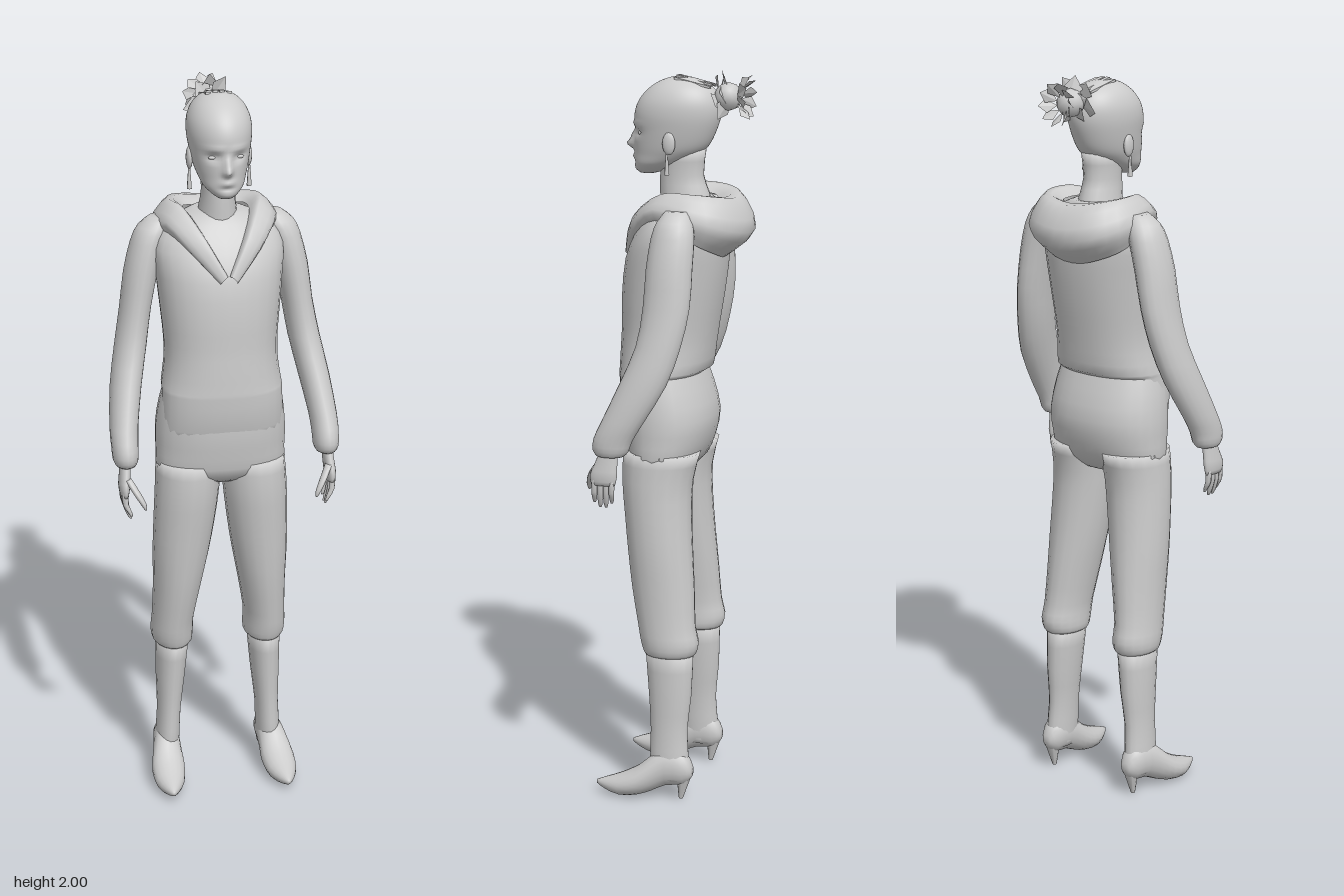
import * as THREE from 'three';

const grey = new THREE.MeshStandardMaterial({ color: 0xcccccc, side: THREE.DoubleSide });
grey.name = 'plain grey';

function add(parent, name, geometry) {
  const mesh = new THREE.Mesh(geometry, grey);
  mesh.name = name;
  parent.add(mesh);
  return mesh;
}

// Catmull-Rom blend between b and c
const blend = (a, b, c, d, t) =>
  b + 0.5 * t * (c - a + t * (2 * a - 5 * b + 4 * c - d + t * (3 * (b - c) + d - a)));

// Refines rows of numbers along a smooth curve
function refine(rows, sub) {
  const out = [];
  const at = i => rows[Math.min(Math.max(i, 0), rows.length - 1)];
  for (let i = 0; i < rows.length - 1; i++)
    for (let k = 0; k < sub; k++)
      out.push(rows[i].map((v, n) => blend(at(i - 1)[n], v, at(i + 1)[n], at(i + 2)[n], k / sub)));
  out.push(rows[rows.length - 1]);
  return out;
}

// Closed body from level rings, lowest first: [y, centre x, half width, front z, back z]
function loft(rows, { seg = 18, sub = 2, power = 2, rule } = {}) {
  const rings = refine(rows, sub), pos = [], idx = [];
  const round = v => Math.sign(v) * Math.abs(v) ** (2 / power);
  for (const [y, cx, hw, zf, zb] of rings)
    for (let j = 0; j < seg; j++) {
      const a = j / seg * Math.PI * 2;
      const p = new THREE.Vector3(cx + hw * round(Math.sin(a)), y, (zf + zb) / 2 + (zf - zb) / 2 * round(Math.cos(a)));
      if (rule) rule(p);
      pos.push(p.x, p.y, p.z);
    }
  const last = rings.length - 1, low = pos.length / 3, high = low + 1;
  for (const r of [rings[0], rings[last]]) pos.push(r[1], r[0], (r[3] + r[4]) / 2);
  for (let j = 0; j < seg; j++) {
    const n = (j + 1) % seg;
    idx.push(low, n, j, high, last * seg + j, last * seg + n);
    for (let i = 0; i < last; i++) {
      const a = i * seg + j, b = i * seg + n;
      idx.push(a, b, b + seg, a, b + seg, a + seg);
    }
  }
  const g = new THREE.BufferGeometry();
  g.setAttribute('position', new THREE.Float32BufferAttribute(pos, 3));
  g.setIndex(idx);
  g.computeVertexNormals();
  return g;
}

// Hood and lapels: columns of inner, ridge, outer and under points, from V tip to nape
function hoodGeometry() {
  const half = [
    [0.002, 1.52, 0.147, 0.008, 1.52, 0.156, 0.022, 1.505, 0.154, 0.022, 1.50, 0.14],
    [0.045, 1.60, 0.10, 0.06, 1.615, 0.118, 0.09, 1.585, 0.118, 0.09, 1.57, 0.09],
    [0.078, 1.655, 0.03, 0.105, 1.68, 0.03, 0.145, 1.645, 0.04, 0.14, 1.61, 0.03],
    [0.085, 1.66, -0.05, 0.125, 1.685, -0.06, 0.168, 1.62, -0.08, 0.15, 1.56, -0.07],
    [0.06, 1.655, -0.08, 0.085, 1.675, -0.13, 0.11, 1.59, -0.165, 0.09, 1.525, -0.115],
    [0, 1.65, -0.085, 0, 1.665, -0.15, 0, 1.575, -0.195, 0, 1.505, -0.12]];
  const flip = half.slice(0, -1).reverse().map(r => r.map((v, i) => i % 3 ? v : -v));
  const pos = [], idx = [], cols = refine([...half, ...flip], 3);
  let w = 0;
  for (const c of cols) {
    const line = refine([0, 3, 6, 9].map(i => c.slice(i, i + 3)), 3);
    w = line.length;
    pos.push(...line.flat());
  }
  for (let i = 0; i < cols.length - 1; i++)
    for (let j = 0; j < w - 1; j++) {
      const a = i * w + j, b = a + w;
      idx.push(a, a + 1, b, a + 1, b + 1, b);
    }
  const g = new THREE.BufferGeometry();
  g.setAttribute('position', new THREE.Float32BufferAttribute(pos, 3));
  g.setIndex(idx);
  g.computeVertexNormals();
  return g;
}

// Pointed hair shard: a folded kite with its root at the origin, pointing up y
function shardGeometry(length, width) {
  const g = new THREE.BufferGeometry();
  const m = length * 0.55, w = width / 2;
  g.setAttribute('position', new THREE.Float32BufferAttribute(
    [0, 0, 0, w, m, 0, 0, length, 0.01, 0, 0, 0, 0, length, 0.01, -w, m, 0.02], 3));
  g.computeVertexNormals();
  return g;
}

// Raises the face: nose, sockets, brow, lips and chin
function faceRule(p) {
  if (p.z < 0.04) return;
  const bump = (x, y, sx, sy) => Math.exp(-(((Math.abs(p.x) - x) / sx) ** 2) - ((p.y - y) / sy) ** 2);
  p.z += 0.024 * bump(0, 1.797, 0.011, 0.013) + 0.012 * bump(0, 1.82, 0.01, 0.016)
    - 0.012 * bump(0.034, 1.832, 0.018, 0.01) + 0.005 * bump(0.03, 1.855, 0.03, 0.008)
    + 0.007 * bump(0, 1.766, 0.018, 0.008) - 0.004 * bump(0, 1.751, 0.02, 0.005);
}

export function createModel() {
  const model = new THREE.Group();
  model.name = 'standing figure';

  // Torso
  add(model, 'trouserSeat', loft([
    [0.92, 0, 0.10, 0.09, -0.03], [0.95, 0, 0.172, 0.13, -0.06], [1.0, 0, 0.177, 0.142, -0.082],
    [1.07, 0, 0.178, 0.152, -0.095], [1.15, 0, 0.168, 0.152, -0.076], [1.22, 0, 0.15, 0.14, -0.05]],
    { seg: 28, power: 2.2 }));
  add(model, 'hoodedTop', loft([
    [1.06, 0, 0.165, 0.145, -0.04], [1.12, 0, 0.165, 0.16, -0.045], [1.185, 0, 0.163, 0.166, -0.055],
    [1.2, 0, 0.163, 0.166, -0.078], [1.26, 0, 0.154, 0.164, -0.088], [1.32, 0, 0.153, 0.161, -0.097],
    [1.4, 0, 0.16, 0.16, -0.11], [1.5, 0, 0.17, 0.148, -0.122], [1.57, 0, 0.175, 0.118, -0.122],
    [1.62, 0, 0.15, 0.085, -0.108], [1.65, 0, 0.10, 0.06, -0.09], [1.665, 0, 0.06, 0.04, -0.08]],
    { seg: 28, power: 2.2 }));
  add(model, 'hood', hoodGeometry());

  // Neck and head
  add(model, 'neck', loft([[1.6, 0, 0.06, 0.06, -0.09], [1.67, 0, 0.05, 0.062, -0.075],
    [1.72, 0, 0.044, 0.062, -0.058], [1.79, 0, 0.048, 0.06, -0.065]]));
  add(model, 'head', loft([
    [1.722, 0, 0.02, 0.118, 0.075], [1.732, 0, 0.035, 0.13, 0.04], [1.75, 0, 0.053, 0.132, 0],
    [1.775, 0, 0.064, 0.131, -0.045], [1.80, 0, 0.072, 0.131, -0.072], [1.84, 0, 0.08, 0.13, -0.092],
    [1.88, 0, 0.085, 0.131, -0.104], [1.915, 0, 0.082, 0.119, -0.103], [1.945, 0, 0.069, 0.094, -0.088],
    [1.966, 0, 0.048, 0.063, -0.062], [1.978, 0, 0.02, 0.03, -0.025]],
    { seg: 64, sub: 5, rule: faceRule }));

  // Bun with loose shards, and strands combed back over the crown
  const bun = new THREE.Group();
  bun.name = 'hairBun';
  bun.position.set(0, 1.93, -0.125);
  model.add(bun);
  add(bun, 'bunCore', new THREE.IcosahedronGeometry(0.038, 1));
  for (let i = 0; i < 10; i++) {
    const a = i / 10 * Math.PI * 2;
    const ring = add(bun, 'outerShard', shardGeometry(0.075 - 0.012 * (i % 3), 0.05));
    ring.rotation.set(0.25 - 0.5 * (i % 2), 0, a, 'ZXY');
    ring.position.z = i % 2 ? 0.025 : -0.01;
    const back = add(bun, 'backShard', shardGeometry(0.05, 0.035));
    back.rotation.set(-0.9, 0, a + 0.3, 'ZXY');
    back.position.set(-Math.sin(a) * 0.02, Math.cos(a) * 0.02, -0.03);
  }
  for (const x of [-0.028, -0.009, 0.009, 0.028]) {
    const strand = add(model, 'hairStrand', new THREE.BoxGeometry(0.013, 0.006, 0.1));
    strand.position.set(x, 1.972 - Math.abs(x) * 0.2, -0.035);
    strand.rotation.x = -0.22;
  }

  for (const s of [1, -1]) {
    const side = new THREE.Group();
    side.name = s > 0 ? 'leftSide' : 'rightSide';
    model.add(side);
    const limb = (name, rows, options) =>
      add(side, name, loft(rows.map(([y, x, ...rest]) => [y, x * s, ...rest]), options));

    // Eye, ear and earring
    const eye = add(side, 'eye', new THREE.SphereGeometry(0.011, 12, 8));
    eye.scale.set(1.2, 0.5, 0.5);
    eye.position.set(0.034 * s, 1.831, 0.107);
    const ear = add(side, 'ear', new THREE.SphereGeometry(0.03, 12, 8));
    ear.scale.set(0.3, 1, 0.6);
    ear.position.set(0.079 * s, 1.81, 0.015);
    const earring = add(side, 'earring', new THREE.CylinderGeometry(0.003, 0.007, 0.055, 6));
    earring.position.set(0.08 * s, 1.755, 0.02);

    // Sleeve and hand
    limb('sleeve', [
      [1.005, 0.275, 0.027, 0.155, 0.08], [1.02, 0.275, 0.034, 0.165, 0.066], [1.05, 0.275, 0.036, 0.163, 0.055],
      [1.1, 0.273, 0.038, 0.14, 0.025], [1.2, 0.258, 0.042, 0.095, -0.033], [1.3, 0.238, 0.043, 0.056, -0.066],
      [1.4, 0.221, 0.042, 0.042, -0.085], [1.5, 0.204, 0.046, 0.038, -0.087], [1.58, 0.184, 0.046, 0.03, -0.086],
      [1.62, 0.166, 0.045, 0.018, -0.075], [1.645, 0.15, 0.03, 0, -0.06]]);
    limb('palm', [[0.925, 0.283, 0.011, 0.168, 0.102], [0.95, 0.283, 0.015, 0.172, 0.096],
      [0.98, 0.28, 0.015, 0.16, 0.096], [1.03, 0.275, 0.015, 0.14, 0.095]]);
    for (let f = 0; f < 4; f++) {
      const z = 0.111 + f * 0.016, tip = 0.872 - 0.014 * Math.sin(f / 3 * Math.PI);
      limb('finger', [[tip, 0.268, 0.003, z + 0.008, z + 0.002], [tip + 0.012, 0.273, 0.006, z + 0.01, z - 0.003],
        [0.905, 0.283, 0.008, z + 0.009, z - 0.007], [0.94, 0.284, 0.009, z + 0.008, z - 0.008]], { seg: 8 });
    }
    limb('thumb', [[0.898, 0.234, 0.003, 0.193, 0.187], [0.915, 0.24, 0.008, 0.196, 0.178],
      [0.945, 0.257, 0.01, 0.186, 0.162], [0.975, 0.275, 0.01, 0.165, 0.14]], { seg: 8 });

    // Trouser leg, shin, shoe
    limb('trouserLeg', [
      [0.415, 0.131, 0.047, 0.066, -0.068], [0.425, 0.131, 0.056, 0.071, -0.078], [0.455, 0.132, 0.059, 0.079, -0.085],
      [0.5, 0.13, 0.058, 0.087, -0.075], [0.6, 0.12, 0.066, 0.106, -0.069], [0.7, 0.111, 0.077, 0.119, -0.061],
      [0.8, 0.102, 0.084, 0.13, -0.055], [0.9, 0.094, 0.088, 0.14, -0.056], [0.98, 0.09, 0.087, 0.138, -0.076]]);
    limb('shin', [[0.06, 0.148, 0.03, 0.04, -0.06], [0.1, 0.147, 0.034, 0.05, -0.063],
      [0.2, 0.142, 0.033, 0.049, -0.056], [0.3, 0.137, 0.04, 0.055, -0.066], [0.43, 0.131, 0.047, 0.066, -0.07]]);
    const shoe = limb('shoe', [
      [-0.072, 0.148, 0.015, -0.07, -0.1], [-0.05, 0.148, 0.032, -0.045, -0.14], [0, 0.15, 0.037, -0.038, -0.15],
      [0.04, 0.155, 0.042, -0.02, -0.125], [0.08, 0.159, 0.047, -0.006, -0.09], [0.13, 0.162, 0.04, 0, -0.063],
      [0.175, 0.164, 0.02, -0.012, -0.046], [0.2, 0.165, 0.004, -0.025, -0.036]]);
    shoe.geometry.rotateX(Math.PI / 2);
    const heel = add(side, 'heel', new THREE.CylinderGeometry(0.024, 0.006, 0.08, 8));
    heel.position.set(0.148 * s, 0.042, -0.044);
    heel.rotation.x = -0.12;
  }
  return model;
}
